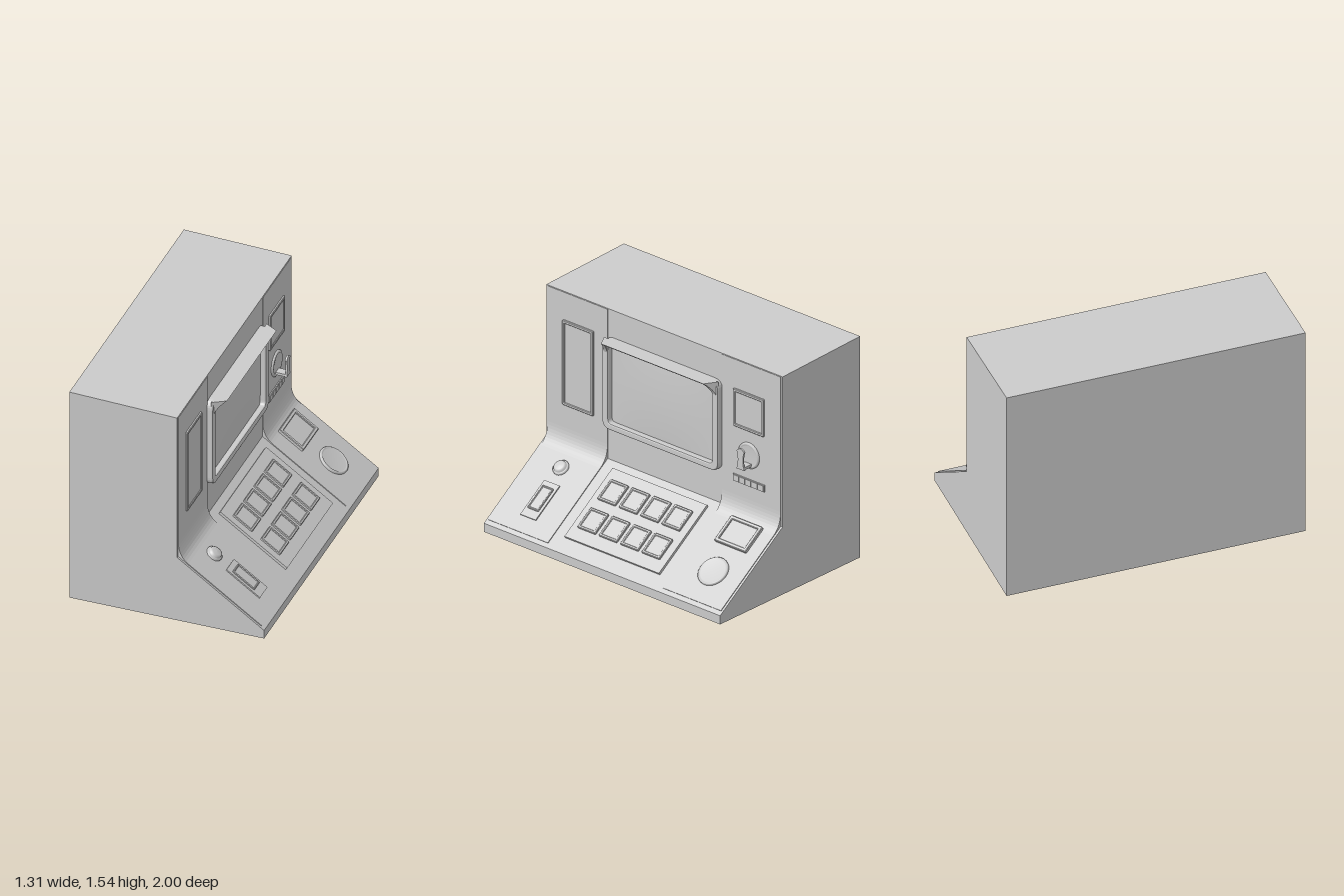
import * as THREE from 'three';

const mat = new THREE.MeshStandardMaterial({ color: 0xcccccc });

function add(parent, name, geo, x = 0, y = 0, z = 0) {
  const m = new THREE.Mesh(geo, mat);
  m.name = name;
  m.position.set(x, y, z);
  parent.add(m);
  return m;
}

// Extrude an xy profile along z between two stations
function prism(parent, name, shape, z0, z1) {
  return add(parent, name, new THREE.ExtrudeGeometry(shape,
    { depth: z1 - z0, bevelEnabled: false, curveSegments: 8 }), 0, 0, z0);
}

const poly = (pts) => new THREE.Shape(pts.map(([x, y]) => new THREE.Vector2(x, y)));

function roundRect(w, h, r, Type = THREE.Shape) {
  const s = new Type(), a = w / 2, b = h / 2;
  s.moveTo(-a + r, -b);
  s.lineTo(a - r, -b); s.quadraticCurveTo(a, -b, a, -b + r);
  s.lineTo(a, b - r); s.quadraticCurveTo(a, b, a - r, b);
  s.lineTo(-a + r, b); s.quadraticCurveTo(-a, b, -a, b - r);
  s.lineTo(-a, -b + r); s.quadraticCurveTo(-a, -b, -a + r, -b);
  return s;
}

// Bevelled rim around a slightly sunken plate, in the parent's local xy plane
function framed(parent, name, x, y, w, h, depth, border = 0.016, base = 0) {
  const g = new THREE.Group();
  g.name = name;
  g.position.set(x, y, base);
  parent.add(g);
  const bevel = 0.004;
  const s = roundRect(w - 2 * bevel, h - 2 * bevel, 0.004);
  s.holes.push(roundRect(w - 2 * border, h - 2 * border, 0.004, THREE.Path));
  add(g, 'rim', new THREE.ExtrudeGeometry(s, { depth: depth - bevel, bevelThickness: bevel,
    bevelSize: bevel, bevelSegments: 1, curveSegments: 2 }));
  add(g, 'plate', new THREE.BoxGeometry(w - 2 * border, h - 2 * border, depth * 0.6), 0, 0, depth * 0.3);
  return g;
}

// Round part turned about the panel normal; points are [radius, height]
function turned(parent, name, x, y, pts, segments = 32) {
  const m = add(parent, name, new THREE.LatheGeometry(
    pts.map(([r, h]) => new THREE.Vector2(r, h)), segments), x, y, 0);
  m.rotation.x = Math.PI / 2;
  return m;
}

// Local frame on a panel: x runs towards -z, y up the panel, z out of it
function panelFrame(name, up, out, origin) {
  const g = new THREE.Group();
  g.name = name;
  g.quaternion.setFromRotationMatrix(
    new THREE.Matrix4().makeBasis(new THREE.Vector3(0, 0, -1), up, out));
  g.position.copy(origin);
  return g;
}

export function createModel() {
  const root = new THREE.Group();
  root.name = 'controlConsole';

  // Cabinet
  prism(root, 'cabinet', poly([[-0.655, 0], [0.655, 0], [0.655, 0.06], [0.07, 0.47],
    [0.07, 1.515], [-0.655, 1.54]]), -1, 1);

  // Side skins with a curved transition from wall to desk
  for (const [z0, z1] of [[-0.985, -0.49], [0.48, 0.985]]) {
    const s = new THREE.Shape();
    s.moveTo(0.06, 1.51);
    s.lineTo(0.06, 0.47);
    s.lineTo(0.625, 0.075);
    s.lineTo(0.632, 0.083);
    s.lineTo(0.14, 0.428);
    s.quadraticCurveTo(0.073, 0.475, 0.073, 0.57);
    s.lineTo(0.073, 1.51);
    prism(root, 'sideSkin', s, z0, z1);
  }

  // Upright wall
  const wall = panelFrame('wall', new THREE.Vector3(0, 1, 0), new THREE.Vector3(1, 0, 0),
    new THREE.Vector3(0.07, 0, 0));
  root.add(wall);
  framed(wall, 'tallPanel', -0.725, 1.025, 0.26, 0.59, 0.016);
  framed(wall, 'squarePanel', 0.72, 1.18, 0.26, 0.26, 0.016);

  // Indicator strip
  add(wall, 'indicatorStrip', new THREE.BoxGeometry(0.265, 0.048, 0.01), 0.72, 0.69, 0.005);
  for (let i = 0; i < 5; i++)
    add(wall, 'indicator', new THREE.BoxGeometry(0.044, 0.04, 0.008), 0.72 + (i - 2) * 0.052, 0.69, 0.01);

  // Dial with a raised handle
  turned(wall, 'dial', 0.72, 0.88, [[0.088, 0], [0.088, 0.01], [0.08, 0.016], [0.072, 0.016],
    [0.068, 0.011], [0, 0.011]]);
  add(wall, 'handleStem', new THREE.BoxGeometry(0.055, 0.018, 0.085), 0.72, 0.82, 0.0425);
  const grip = new THREE.Shape();
  grip.moveTo(-0.032, -0.07);
  grip.lineTo(0.032, -0.07);
  grip.quadraticCurveTo(0.01, 0, 0.032, 0.055);
  grip.quadraticCurveTo(0, 0.095, -0.032, 0.055);
  grip.quadraticCurveTo(-0.01, 0, -0.032, -0.07);
  add(wall, 'handleGrip', new THREE.ExtrudeGeometry(grip, { depth: 0.012, bevelEnabled: false,
    curveSegments: 6 }), 0.72, 0.88, 0.075);

  // Screen surround
  const bezel = roundRect(0.96, 0.605, 0.05);
  bezel.holes.push(roundRect(0.9, 0.555, 0.04, THREE.Path));
  add(wall, 'screenFrame', new THREE.ExtrudeGeometry(bezel, { depth: 0.034, bevelThickness: 0.011,
    bevelSize: 0.01, bevelSegments: 2, curveSegments: 6 }), 0, 1.0125, 0);

  // Gently bulged screen
  const glass = new THREE.PlaneGeometry(0.92, 0.575, 16, 12);
  const p = glass.attributes.position;
  for (let i = 0; i < p.count; i++) {
    const u = p.getX(i) / 0.46, v = p.getY(i) / 0.2875;
    p.setZ(i, 0.004 + 0.012 * (1 - u * u) * (1 - v * v));
  }
  glass.computeVertexNormals();
  add(wall, 'screen', glass, 0, 1.0125, 0);

  // Screen hood, narrowing towards its lip, with a cheek at each end
  const lip = new THREE.Shape();
  lip.moveTo(0.1, 1.285);
  lip.lineTo(0.13, 1.285);
  lip.quadraticCurveTo(0.15, 1.3, 0.187, 1.325);
  lip.lineTo(0.1, 1.325);
  const cheek = new THREE.Shape();
  cheek.moveTo(0.1, 1.23);
  cheek.lineTo(0.115, 1.235);
  cheek.quadraticCurveTo(0.135, 1.285, 0.187, 1.325);
  cheek.lineTo(0.1, 1.325);
  const taper = (m) => {
    const q = m.geometry.attributes.position;
    for (let i = 0; i < q.count; i++) {
      const z = q.getZ(i) + m.position.z;
      q.setZ(i, z * (1 - 1.25 * Math.max(0, q.getX(i) - 0.1)) - m.position.z);
    }
    m.geometry.computeVertexNormals();
  };
  taper(prism(root, 'hood', lip, -0.475, 0.475));
  taper(prism(root, 'hoodCheek', cheek, -0.485, -0.455));
  taper(prism(root, 'hoodCheek', cheek, 0.455, 0.485));

  // Sloping desk; local y is the distance up from the wall corner
  const up = new THREE.Vector3(-0.585, 0.41, 0).normalize();
  const out = new THREE.Vector3(-up.y * -1, -up.x, 0);
  const desk = panelFrame('desk', up, out, new THREE.Vector3(0.07, 0.47, 0));
  root.add(desk);

  // Keypad of eight buttons
  add(desk, 'keypadPlate', new THREE.BoxGeometry(0.8, 0.55, 0.018), 0.01, -0.33, 0.009);
  for (let row = 0; row < 2; row++)
    for (let col = 0; col < 4; col++)
      framed(desk, 'keypadButton', -0.265 + col * 0.181, -0.212 - row * 0.228,
        0.152, 0.158, 0.014, 0.014, 0.018);

  // Right side of the desk: window and round plate
  framed(desk, 'deskWindow', 0.755, -0.16, 0.265, 0.2, 0.026, 0.02);
  turned(desk, 'roundPlate', 0.755, -0.455, [[0.105, 0], [0.105, 0.015], [0.099, 0.021],
    [0.092, 0.021], [0.086, 0.015], [0, 0.015]]);

  // Left side of the desk: push button and rocker switch
  turned(desk, 'pushButton', -0.74, -0.178, [[0.055, 0], [0.055, 0.015], [0.048, 0.02],
    [0.042, 0.02], [0.042, 0.032], [0.03, 0.038], [0, 0.04]], 24);
  add(desk, 'switchPlate', new THREE.BoxGeometry(0.13, 0.275, 0.014), -0.725, -0.435, 0.007);
  framed(desk, 'rockerSwitch', -0.725, -0.425, 0.092, 0.18, 0.01, 0.008, 0.014);

  return root;
}
